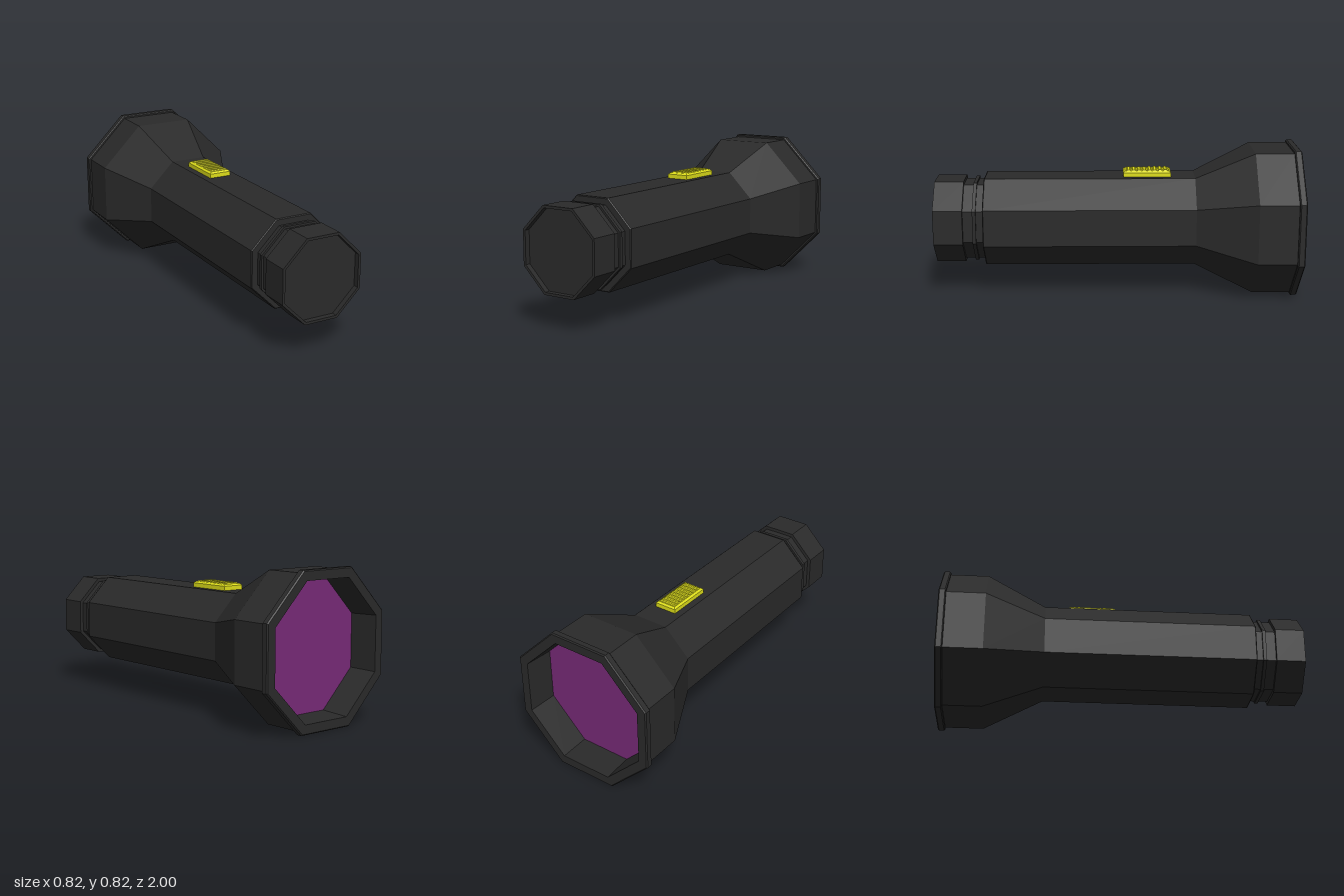
import * as THREE from 'three';

const AXIS_Y = 0.409;
const CORNER = 1 / Math.cos(Math.PI / 8); // flat-to-centre distance -> corner radius

function material(color) {
  return new THREE.MeshStandardMaterial({ color, flatShading: true });
}

// Octagonal part along z from [flat distance, z] pairs, listed with the surface facing outward
function octagon(name, profile, mat) {
  const points = profile.map(([r, z]) => new THREE.Vector2(r * CORNER, z));
  const geometry = new THREE.LatheGeometry(points, 8, Math.PI / 8);
  geometry.rotateX(Math.PI / 2);
  const mesh = new THREE.Mesh(geometry, mat);
  mesh.name = name;
  mesh.position.y = AXIS_Y;
  return mesh;
}

// Box whose top face is drawn in by inset on every side
function taperedBox(name, w, h, d, inset, mat) {
  const geometry = new THREE.BoxGeometry(w, h, d);
  const p = geometry.attributes.position;
  for (let i = 0; i < p.count; i++) {
    if (p.getY(i) > 0) {
      p.setX(i, p.getX(i) - Math.sign(p.getX(i)) * inset);
      p.setZ(i, p.getZ(i) - Math.sign(p.getZ(i)) * inset);
    }
  }
  geometry.translate(0, h / 2, 0);
  const mesh = new THREE.Mesh(geometry, mat);
  mesh.name = name;
  return mesh;
}

export function createModel() {
  const model = new THREE.Group();
  model.name = 'flashlight';
  const black = material(0x2a2a2a);
  const yellow = material(0xdede1a);
  const purple = material(0x782a78);

  // Lens set deep inside the head
  model.add(octagon('lens', [[0, -0.84], [0.346, -0.84]], purple));

  // Hollow head with front rim, flared cone and grip tube
  model.add(octagon('headAndBody', [
    [0.346, -0.84], [0.355, -1], [0.402, -1], [0.408, -0.994], [0.408, -0.966],
    [0.402, -0.96], [0.393, -0.96], [0.393, -0.75], [0.2435, -0.43],
    [0.2435, 0.725], [0.239, 0.73], [0.2, 0.73],
  ], black));

  // Narrow neck with a seal ring
  model.add(octagon('neck', [[0.208, 0.72], [0.208, 0.85]], black));
  model.add(octagon('sealRing', [
    [0.2, 0.768], [0.219, 0.768], [0.219, 0.787], [0.2, 0.787],
  ], black));

  // Tail cap with a shallow recessed end
  model.add(octagon('tailCap', [
    [0.2, 0.84], [0.227, 0.84], [0.227, 1], [0.213, 1], [0.213, 0.97], [0, 0.97],
  ], black));

  // Sliding switch: plinth, tapered button and thumb ribs
  const slider = new THREE.Group();
  slider.name = 'switch';
  slider.position.set(0, 0.65, -0.167);
  slider.add(taperedBox('switchBase', 0.126, 0.026, 0.262, 0, yellow));
  const button = taperedBox('switchButton', 0.126, 0.009, 0.262, 0.011, yellow);
  button.position.y = 0.026;
  slider.add(button);
  for (let i = 0; i < 8; i++) {
    const rib = taperedBox('switchRib', 0.102, 0.006, 0.024, 0.006, yellow);
    rib.position.set(0, 0.034, (i - 3.5) * 0.029);
    slider.add(rib);
  }
  model.add(slider);
  return model;
}
